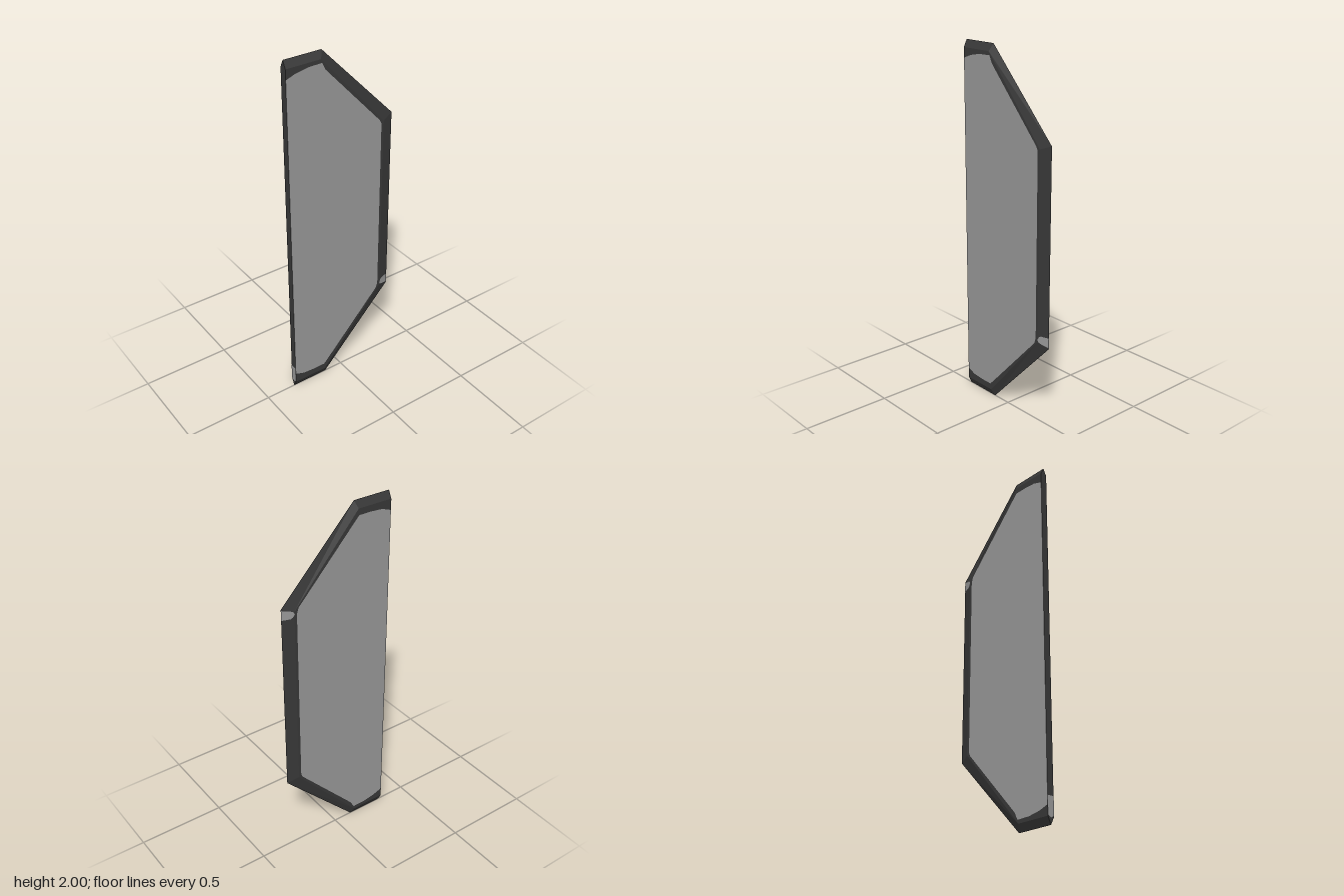
import * as THREE from 'three';

const frameMat = new THREE.MeshStandardMaterial({ color: 0x383838 });
frameMat.name = 'dark frame';
const panelMat = new THREE.MeshStandardMaterial({ color: 0x989898 });
panelMat.name = 'grey panel';

const LEFT = -0.325, RIGHT = 0.325, T = 0.02;

// Knife edge outline, the flat's outline inside it, and the grey field
const outer = [[LEFT, 0], [-0.11, 0], [RIGHT, 0.453], [RIGHT, 1.547], [-0.11, 2], [LEFT, 2]];
const inner = [[LEFT, 0.04], [-0.125, 0.04], [0.26, 0.477], [0.26, 1.523], [-0.125, 1.96], [LEFT, 1.96]];
const field = [
  [LEFT, 0.1], [-0.27, 0.08], [-0.2, 0.075], [-0.13, 0.075], [-0.11, 0.095], [0.235, 0.463], [0.245, 0.495],
  [0.245, 1.512], [0.235, 1.533], [-0.1, 1.9], [-0.12, 1.94], [-0.2, 1.938], [-0.27, 1.925], [LEFT, 1.905],
];

const flat = (pts) => new THREE.ShapeGeometry(new THREE.Shape(pts.map(([x, y]) => new THREE.Vector2(x, y))));

function add(group, name, geometry, material) {
  const mesh = new THREE.Mesh(geometry, material);
  mesh.name = name;
  group.add(mesh);
  return mesh;
}

// Sloping facets between the knife edge and the flat
function bevelGeometry() {
  const pos = [];
  for (let i = 0; i < outer.length - 1; i++) {
    const a = [...outer[i], 0], b = [...outer[i + 1], 0];
    const c = [...inner[i + 1], T], d = [...inner[i], T];
    pos.push(...a, ...b, ...c, ...a, ...c, ...d);
  }
  const g = new THREE.BufferGeometry();
  g.setAttribute('position', new THREE.Float32BufferAttribute(pos, 3));
  g.computeVertexNormals();
  return g;
}

function makeSide(name) {
  const side = new THREE.Group();
  side.name = name;
  add(side, 'bevel', bevelGeometry(), frameMat);
  add(side, 'panel', flat(field).translate(0, 0, T), panelMat);
  // Dark border of the flat, running around the grey field
  add(side, 'border', flat([...inner, ...[...field].reverse()]).translate(0, 0, T), frameMat);

  // Bare patch lying on the bevel near the lower corner
  const patch = flat([[0.258, 0.49], [0.265, 0.478], [0.285, 0.469], [RIGHT, 0.46], [RIGHT, 0.515], [0.28, 0.515], [0.268, 0.508]]);
  const p = patch.attributes.position;
  for (let i = 0; i < p.count; i++) p.setZ(i, T * (RIGHT - p.getX(i)) / 0.065 + 0.001);
  patch.computeVertexNormals();
  add(side, 'barePatch', patch, panelMat);
  return side;
}

export function createModel() {
  const model = new THREE.Group();
  model.name = 'bevelledPanel';

  // The back is the front turned over about the x axis
  const back = makeSide('backSide');
  back.rotation.x = Math.PI;
  back.position.y = 2;
  model.add(makeSide('frontSide'), back);

  // Straight closing edge, with a small bare patch near its foot
  const edge = flat([[0, 0], [T, 0.04], [T, 1.96], [0, 2], [-T, 1.96], [-T, 0.04]]);
  add(model, 'straightEdge', edge.rotateY(-Math.PI / 2).translate(LEFT, 0, 0), frameMat);
  const mark = flat([[-T, 0.045], [0, 0.035], [T, 0.045], [T, 0.14], [-T, 0.14]]);
  add(model, 'edgePatch', mark.rotateY(-Math.PI / 2).translate(LEFT - 0.001, 0, 0), panelMat);
  return model;
}
